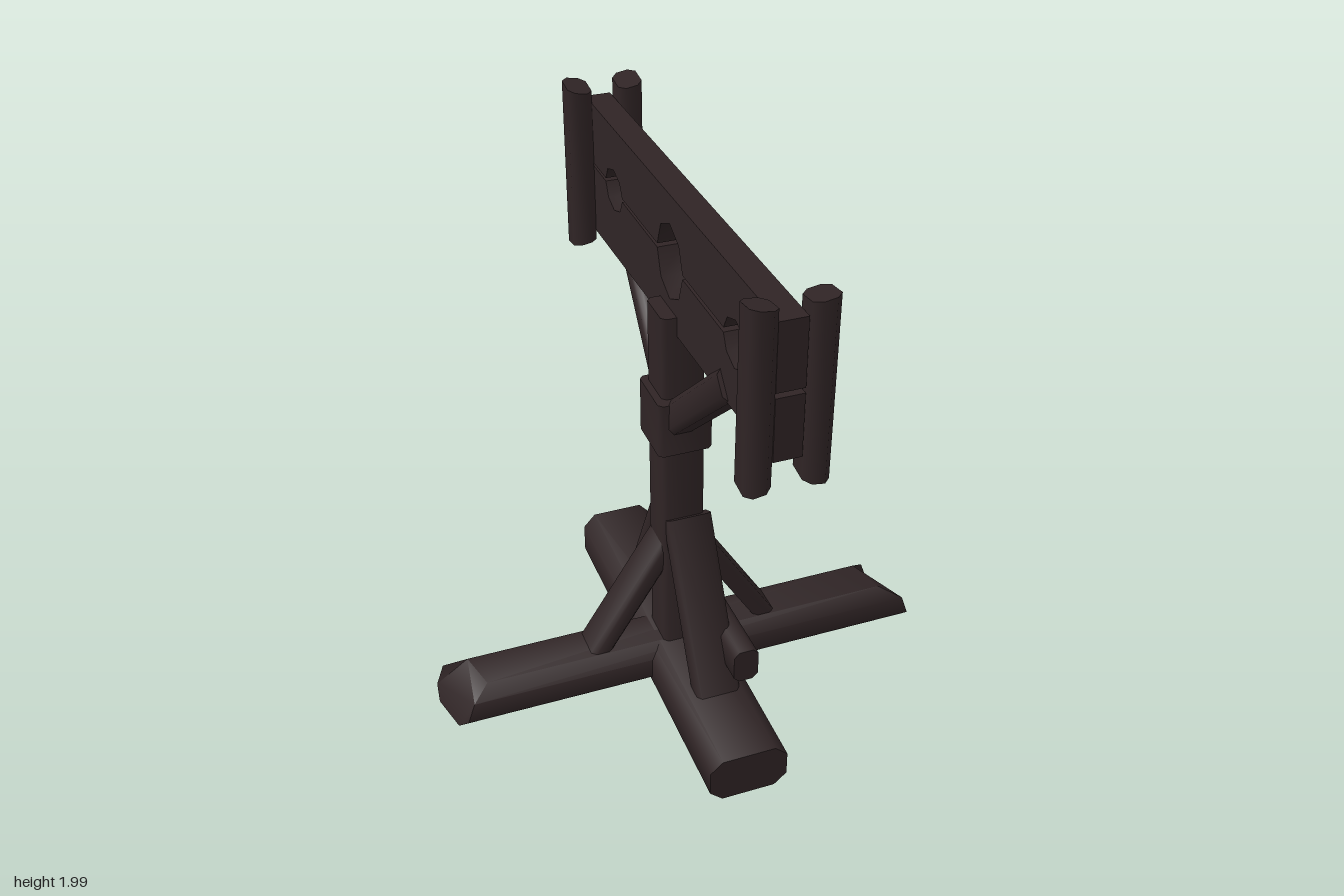
import * as THREE from 'three';
import { toCreasedNormals } from 'three/addons/utils/BufferGeometryUtils.js';

const V = (x, y, z) => new THREE.Vector3(x, y, z);

export function createModel() {
  const model = new THREE.Group();
  model.name = 'pillory';
  const wood = new THREE.MeshStandardMaterial({ color: 0x2f2425 });
  wood.name = 'dark wood';

  function add(name, geometry) {
    const mesh = new THREE.Mesh(toCreasedNormals(geometry, 0.9), wood);
    mesh.name = name;
    model.add(mesh);
    return mesh;
  }

  // Moves every vertex by a rule
  function reshape(geometry, rule) {
    const p = geometry.attributes.position, v = V(0, 0, 0);
    for (let i = 0; i < p.count; i++) {
      rule(v.fromBufferAttribute(p, i));
      p.setXYZ(i, v.x, v.y, v.z);
    }
    return geometry;
  }

  // Chamfered timber from a to b; w is measured along the "across" direction, h at right angles to it
  function timber(name, a, b, w, h, c, across, rule) {
    const x = w / 2, y = h / 2;
    const section = new THREE.Shape([
      [-x + c, -y], [x - c, -y], [x, -y + c], [x, y - c],
      [x - c, y], [-x + c, y], [-x, y - c], [-x, -y + c],
    ].map(([u, v]) => new THREE.Vector2(u, v)));
    const g = new THREE.ExtrudeGeometry(section, { depth: a.distanceTo(b), bevelEnabled: false });
    const dir = b.clone().sub(a).normalize();
    const up = dir.clone().cross(across).normalize();
    const side = up.clone().cross(dir);
    g.applyMatrix4(new THREE.Matrix4().makeBasis(side, up, dir).setPosition(a));
    return add(name, rule ? reshape(g, rule) : g);
  }
  const X = V(1, 0, 0), Z = V(0, 0, 1);

  // Crossed floor beams: one with slanted ends, one that thickens to the back
  timber('sideFloorBeam', V(-0.9, 0.105, -0.015), V(0.9, 0.105, -0.015), 0.235, 0.17, 0.045, Z, (v) => {
    const s = Math.sign(v.x);
    const slope = (v.y - 0.02) * 0.35 + Math.max(0, v.y - 0.15) * 1.4;
    v.x = s * (0.907 - slope) - 0.25 * (s > 0 ? 0.1 - v.z : -0.13 - v.z);
  });
  timber('longFloorBeam', V(-0.005, 0.095, -0.72), V(-0.005, 0.095, 0.685), 0.28, 0.19, 0.045, X, (v) => {
    v.y *= 1 - 0.14 * v.z;
  });

  // Post and its collar
  timber('post', V(-0.01, 0.03, -0.004), V(-0.01, 1.53, -0.012), 0.15, 0.155, 0.015, X);
  timber('collar', V(-0.015, 1.03, 0), V(-0.015, 1.23, 0), 0.19, 0.205, 0.015, X);

  // Lower braces, on the four sides of the post
  for (const s of [1, -1]) {
    timber('sideBrace', V(s * 0.37, 0.1, -0.02), V(s * 0.05, 0.61, -0.015), 0.145, 0.07, 0.015, Z);
    timber('longBrace', V(0.005, 0.1, s * 0.385), V(0.005, 0.73, s * 0.055), 0.16, 0.08, 0.015, X);
  }

  // Rail along the foot of the braces
  timber('footRail', V(0.088, 0.31, -0.435), V(0.088, 0.31, 0.42), 0.09, 0.13, 0.02, X, (v) => {
    v.y += (v.z < 0 ? -1 : 1) * 0.008;
  });

  // Upper braces carrying the boards
  timber('frontUpperBrace', V(-0.03, 1.13, 0.04), V(0, 1.52, 0.47), 0.1, 0.11, 0.02, X);
  timber('backUpperBrace', V(-0.02, 1.13, -0.04), V(0.02, 1.5, -0.52), 0.08, 0.09, 0.02, X);

  // Neck and wrist holes: [z, y, half width, half height]
  const holes = [[0.545, 1.702, 0.088, 0.08], [0, 1.697, 0.115, 0.132], [-0.555, 1.695, 0.088, 0.075]];

  // Outline of half a hole; side is 1 above the seam and -1 below it
  function halfHole([z, y, rz, ry], side, seam) {
    return [0, 1, 2, 3, 4].map((i) => {
      const a = i * Math.PI / 4;
      return [z + rz * Math.cos(a), i % 4 ? y + side * ry * Math.sin(a) : seam];
    });
  }

  // A board is drawn in (z, y), with the half holes cut into its seam edge
  function board(name, side, frontSeam, backSeam, frontEdge, backEdge) {
    const seamAt = (z) => THREE.MathUtils.mapLinear(z, 0.84, -0.855, frontSeam, backSeam);
    const pts = [[0.84, frontEdge], [0.84, frontSeam]];
    for (const h of holes) pts.push(...halfHole(h, side, seamAt(h[0])));
    pts.push([-0.855, backSeam], [-0.855, backEdge]);
    const shape = new THREE.Shape(pts.map(([z, y]) => new THREE.Vector2(-z, y)));
    const g = new THREE.ExtrudeGeometry(shape, { depth: 0.09, bevelEnabled: false });
    g.rotateY(Math.PI / 2).translate(-0.035, 0, 0);
    add(name, g);
  }
  board('upperBoard', 1, 1.712, 1.7, 1.936, 1.92);
  board('lowerBoard', -1, 1.695, 1.69, 1.483, 1.438);

  // Upright slats clamping both ends of the boards, with slanted tips
  for (const x of [-0.078, 0.103]) {
    for (const z of [0.805, -0.808]) {
      const s = Math.sign(z), out = Math.sign(x);
      timber('endSlat', V(x, 1.4, z), V(x, 1.975, z), 0.085, 0.11, 0.022, X, (v) => {
        const top = v.y > 1.7 ? 1 : -1;
        v.y += top * ((v.x - x) * out * 0.16 + (v.z - z) * s * 0.15 + 0.005);
        if (s > 0) v.z += top * 0.004;
      });
    }
  }
  return model;
}
